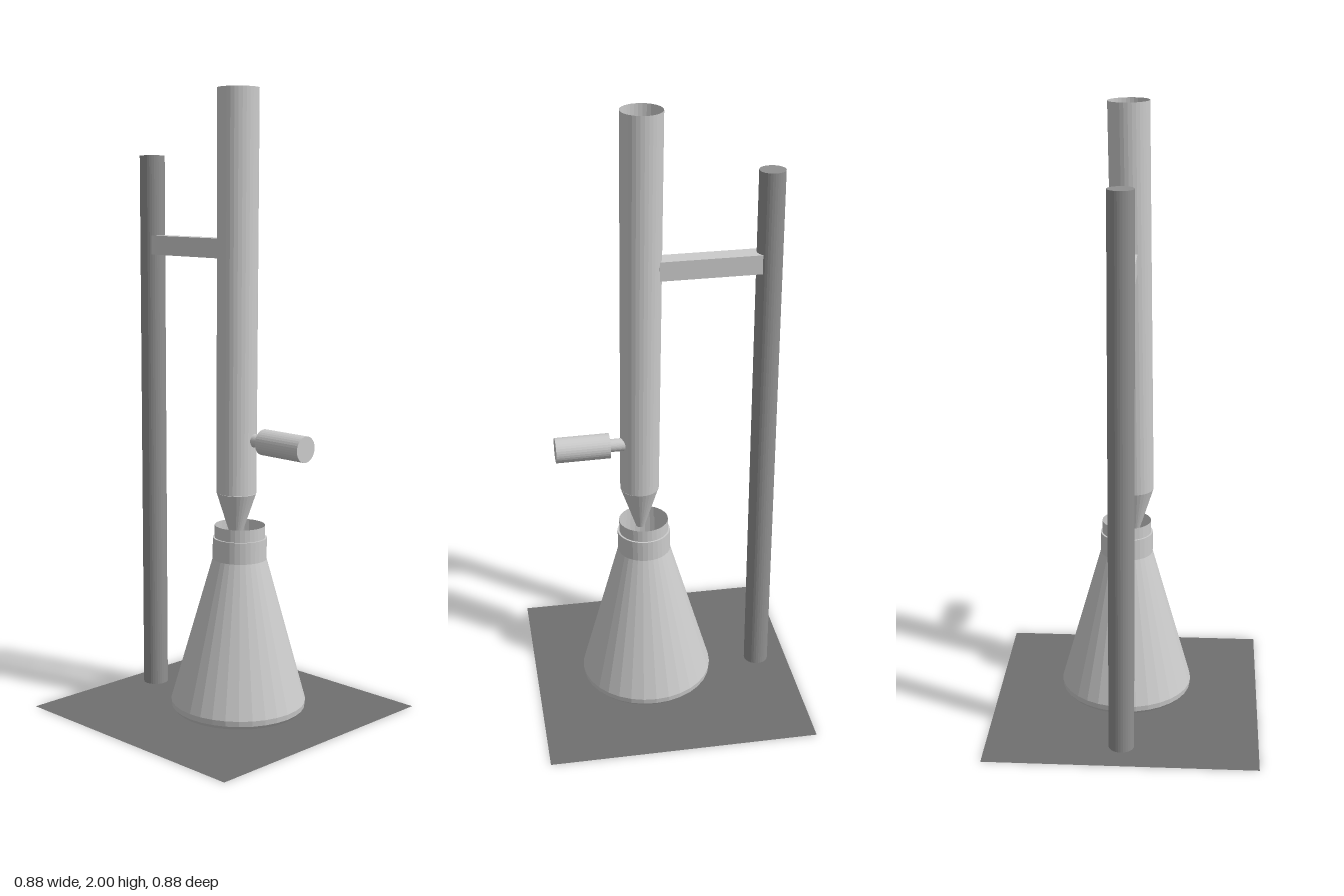
import * as THREE from 'three';

const material = (color) =>
  new THREE.MeshStandardMaterial({ color, flatShading: true, side: THREE.DoubleSide });

const grey = material(0xcccccc);
const rodGrey = material(0x909090);
const plateGrey = material(0x707070);

export function createModel() {
  const model = new THREE.Group();

  const add = (name, geometry, mat, x, y, z) => {
    const mesh = new THREE.Mesh(geometry, mat);
    mesh.name = name;
    mesh.position.set(x, y, z);
    model.add(mesh);
    return mesh;
  };

  // Round part between two points (from = lower end)
  const between = (name, from, to, rFrom, rTo, mat, open = false) => {
    const a = new THREE.Vector3(...from);
    const b = new THREE.Vector3(...to);
    const dir = b.clone().sub(a);
    const mid = a.clone().add(b).multiplyScalar(0.5);
    const geometry = new THREE.CylinderGeometry(rTo, rFrom, dir.length(), 32, 1, open);
    const mesh = add(name, geometry, mat, mid.x, mid.y, mid.z);
    mesh.quaternion.setFromUnitVectors(new THREE.Vector3(0, 1, 0), dir.normalize());
    return mesh;
  };

  // Flat square base
  add('basePlate', new THREE.PlaneGeometry(0.88, 0.88), plateGrey, 0, 0, 0).rotation.x = -Math.PI / 2;

  // Upright rod and the clamp arm holding the tube
  between('standRod', [-0.333, 0.008, 0], [-0.333, 1.8, 0], 0.041, 0.041, rodGrey);
  add('clampArm', new THREE.BoxGeometry(0.32, 0.062, 0.062), grey, -0.145, 1.508, 0).rotation.z = -0.008;

  // Slightly leaning tube, open at the top
  between('tube', [0.075, 0.735, 0.019], [0.0625, 2, 0], 0.0635, 0.0655, grey, true);
  // Tapered tip, its upper cap closes the tube
  between('tubeTip', [0.073, 0.585, 0.02], [0.075, 0.735, 0.019], 0.014, 0.0635, grey);

  // Side valve
  between('valveStem', [0.11, 0.908, 0], [0.18, 0.907, 0], 0.021, 0.021, grey);
  between('valveHandle', [0.175, 0.908, -0.001], [0.35, 0.906, -0.002], 0.041, 0.041, grey);

  // Conical flask with rounded foot, straight neck and stepped rim
  const profile = [
    [0, 0.01], [0.19, 0.01], [0.207, 0.015], [0.217, 0.027], [0.219, 0.045],
    [0.087, 0.515], [0.087, 0.585], [0.081, 0.585], [0.081, 0.625],
  ].map(([r, y]) => new THREE.Vector2(r, y));
  const flask = add('flask', new THREE.LatheGeometry(profile, 32), grey, 0.0595, 0, -0.006);
  flask.rotation.z = -0.011;

  return model;
}
